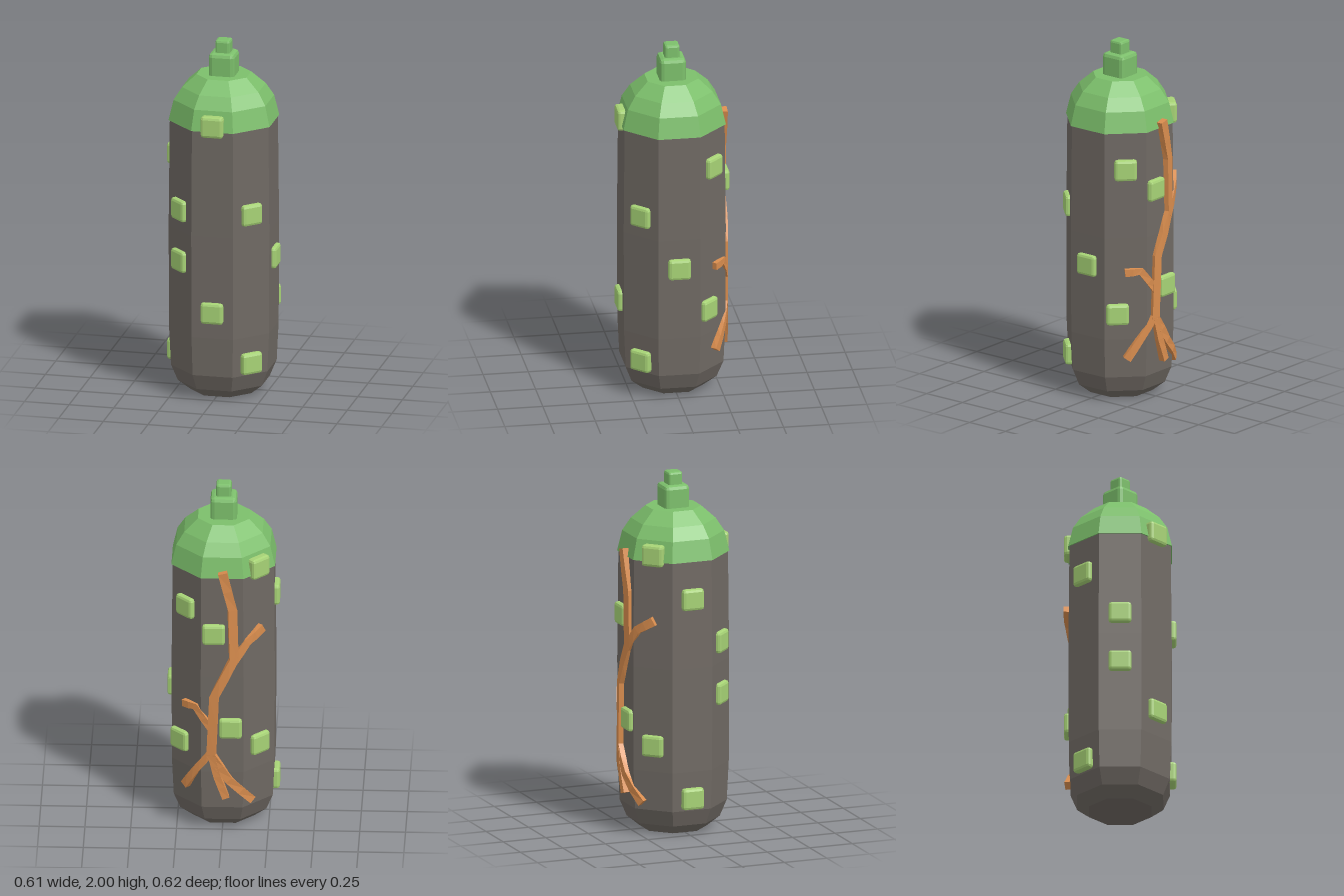
import * as THREE from 'three';
import { RoundedBoxGeometry } from 'three/addons/geometries/RoundedBoxGeometry.js';

const mat = (color) => new THREE.MeshStandardMaterial({ color, flatShading: true });
const rad = THREE.MathUtils.degToRad;

// Eight-sided solid with a flat facing the front; profile is [apothem, y]
function octagon(profile, material, name) {
  const pts = profile.map(([a, y]) => new THREE.Vector2(a / Math.cos(Math.PI / 8), y));
  const mesh = new THREE.Mesh(new THREE.LatheGeometry(pts, 8, Math.PI / 8), material);
  mesh.name = name;
  return mesh;
}

// Box with chamfered edges
function chamferBox(w, h, d, c, material, name) {
  const mesh = new THREE.Mesh(new RoundedBoxGeometry(w, h, d, 1, c), material);
  mesh.name = name;
  return mesh;
}

// Flat branch wrapped round the trunk; path points are [azimuth in degrees, y, width]
function branch(path, material, name) {
  const steps = [];
  path.forEach((p, i) => {
    if (i) steps.push(p.map((v, k) => (v + path[i - 1][k]) / 2));
    steps.push(p);
  });
  const at = ([a, y], r) => new THREE.Vector3(Math.sin(rad(a)) * r, y, Math.cos(rad(a)) * r);
  const pos = [], index = [];
  steps.forEach((s, i) => {
    const out = at([s[0], 0], 1);
    const dir = at(steps[Math.min(i + 1, steps.length - 1)], 0.3).sub(at(steps[Math.max(i - 1, 0)], 0.3));
    const side = new THREE.Vector3().crossVectors(dir, out).normalize();
    for (const [u, r] of [[-1, 0.27], [1, 0.27], [1, 0.309], [-1, 0.309]]) {
      pos.push(...at(s, r).addScaledVector(side, u * s[2] / 2).toArray());
    }
    if (i) for (let k = 0; k < 4; k++) {
      const a = (i - 1) * 4 + k, b = (i - 1) * 4 + (k + 1) % 4;
      index.push(a, b, b + 4, a, b + 4, a + 4);
    }
  });
  const e = (steps.length - 1) * 4;
  index.push(0, 2, 1, 0, 3, 2, e, e + 1, e + 2, e, e + 2, e + 3);
  const geo = new THREE.BufferGeometry();
  geo.setAttribute('position', new THREE.Float32BufferAttribute(pos, 3));
  geo.setIndex(index);
  geo.computeVertexNormals();
  const m = material.clone();
  m.side = THREE.DoubleSide;
  const mesh = new THREE.Mesh(geo, m);
  mesh.name = name;
  return mesh;
}

export function createModel() {
  const model = new THREE.Group();
  model.name = 'model';
  const bark = mat(0x6f6963), green = mat(0x7cbf6b), lime = mat(0xa6d275), wood = mat(0xd98d4e);

  // Trunk and domed cap
  model.add(octagon([[0, 0.005], [0.17, 0.005], [0.235, 0.06], [0.27, 0.15], [0.28, 0.37],
    [0.282, 0.95], [0.276, 1.57], [0, 1.57]], bark, 'trunk'));
  model.add(octagon([[0, 1.55], [0.283, 1.55], [0.257, 1.665], [0.214, 1.735],
    [0.14, 1.805], [0, 1.805]], green, 'cap'));

  // Two-step stem
  const stem = new THREE.Group();
  stem.name = 'stem';
  const lower = chamferBox(0.145, 0.16, 0.145, 0.022, green, 'lowerStem');
  lower.position.y = 1.85;
  const upper = chamferBox(0.083, 0.12, 0.083, 0.013, green, 'upperStem');
  upper.position.y = 1.94;
  stem.add(lower, upper);
  model.add(stem);

  // Square pads: [face azimuth, y, sideways shift]
  const pads = new THREE.Group();
  pads.name = 'pads';
  for (const [az, y, shift] of [
    [0, 1.58, 0], [0, 0.515, 0], [45, 1.07, 0], [45, 0.22, 0], [90, 0.78, 0],
    [135, 1.34, 0], [135, 0.515, -0.045], [180, 1.21, -0.046], [180, 0.64, 0.046],
    [225, 1.585, 0], [225, 0.515, 0], [270, 1.34, 0], [270, 0.22, 0],
    [315, 1.07, 0], [315, 0.78, 0],
  ]) {
    const holder = new THREE.Group();
    holder.name = 'padHolder';
    holder.rotation.y = rad(az);
    const pad = chamferBox(0.125, 0.12, 0.06, 0.016, lime, 'pad');
    pad.position.set(shift, y, 0.277);
    holder.add(pad);
    pads.add(holder);
  }
  model.add(pads);

  // Climbing vine on the back
  const vine = new THREE.Group();
  vine.name = 'vine';
  vine.add(
    branch([[180.5, 1.59, 0.05], [191, 1.365, 0.05], [192.5, 1.06, 0.05], [171.5, 0.83, 0.05],
      [168.5, 0.48, 0.05], [187, 0.33, 0.045], [213, 0.19, 0.045]], wood, 'mainVine'),
    branch([[191, 1.04, 0.045], [207, 1.16, 0.045], [227, 1.22, 0.05]], wood, 'upperTwig'),
    branch([[170, 0.63, 0.04], [151, 0.76, 0.04], [134, 0.755, 0.04]], wood, 'middleTwig'),
    branch([[168, 0.49, 0.04], [152, 0.38, 0.04], [136, 0.26, 0.045]], wood, 'lowerTwig'),
    branch([[169.5, 0.47, 0.04], [175, 0.35, 0.04], [184, 0.22, 0.04]], wood, 'rootTwig'),
  );
  model.add(vine);
  return model;
}
